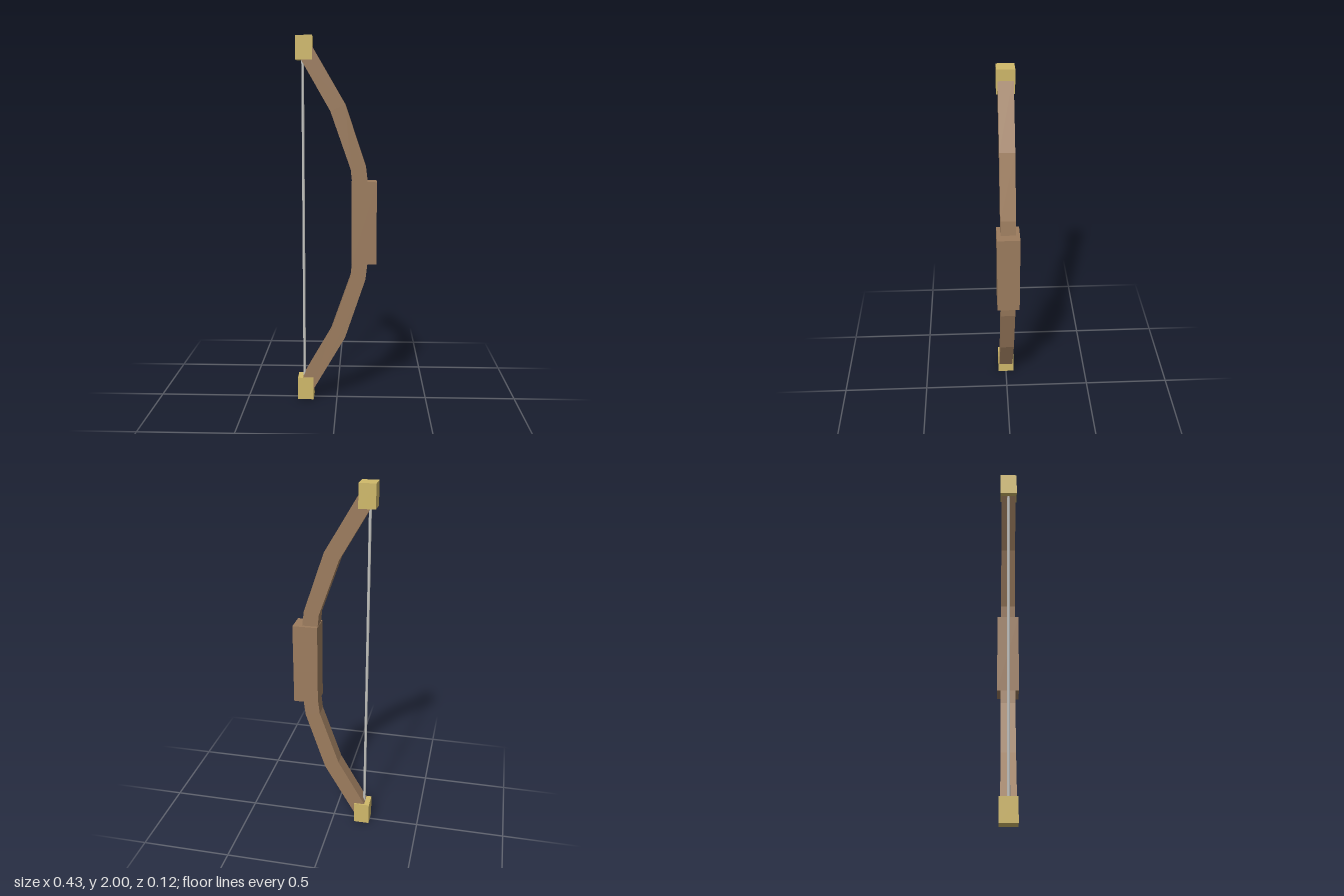
import * as THREE from 'three';

export function createModel() {
  const group = new THREE.Group();
  const material = (name, color) => {
    const m = new THREE.MeshStandardMaterial({ color });
    m.name = name;
    return m;
  };
  const wood = material('wood', 0x9c7c5e);
  const brass = material('brass', 0xd0b96a);
  const cord = material('cord', 0xc8c8c4);

  const add = (name, geometry, mat, x = 0, y = 0, z = 0) => {
    const mesh = new THREE.Mesh(geometry, mat);
    mesh.name = name;
    mesh.position.set(x, y, z);
    group.add(mesh);
  };

  // Bow stave: upper half of the outline, mirrored about y = 1 and extruded
  const outer = [[0.169, 1.21], [0.157, 1.31], [0.046, 1.64], [-0.145, 1.967]];
  const inner = [[-0.195, 1.885], [-0.034, 1.605], [0.075, 1.295], [0.084, 1.21]];
  const upper = [...outer, ...inner];
  const lower = upper.map(([x, y]) => [x, 2 - y]).reverse();
  const outline = [...upper, ...lower].map(([x, y]) => new THREE.Vector2(x, y));
  const stave = new THREE.ExtrudeGeometry(new THREE.Shape(outline), { depth: 0.08, bevelEnabled: false });
  add('stave', stave, wood, 0, 0, -0.04);

  // Handle block
  add('grip', new THREE.BoxGeometry(0.136, 0.45, 0.12), wood, 0.148, 1.005, 0);

  // Tip caps
  const cap = new THREE.BoxGeometry(0.088, 0.126, 0.094);
  add('upperTip', cap, brass, -0.174, 1.937, 0);
  add('lowerTip', cap, brass, -0.174, 0.063, 0);

  // Bowstring
  add('string', new THREE.CylinderGeometry(0.008, 0.008, 1.8, 6), cord, -0.183, 1, 0);

  return group;
}
